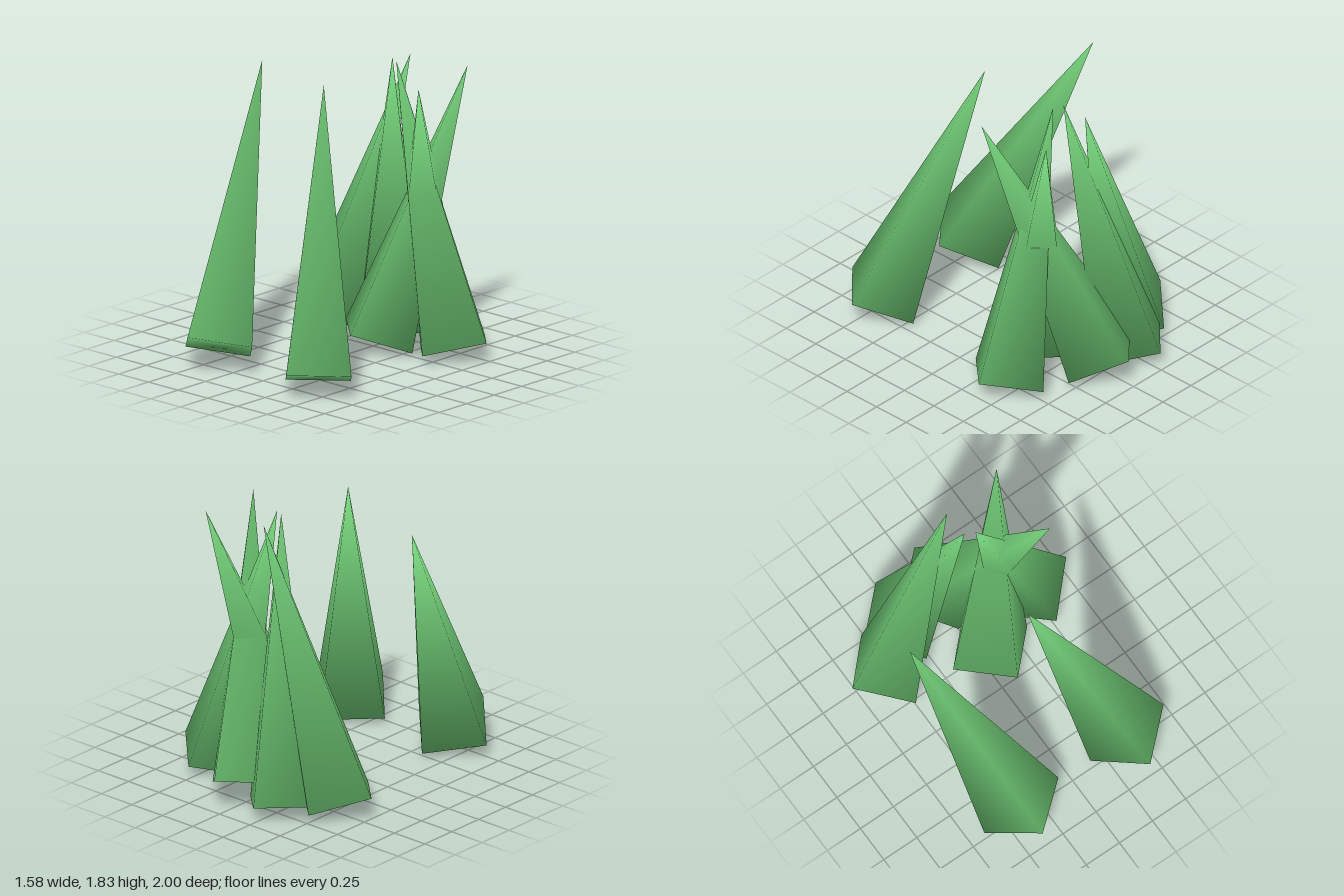
import * as THREE from 'three';
import { mergeVertices } from 'three/addons/utils/BufferGeometryUtils.js';

const RADIUS = 0.285;
const HEIGHT = 1.81;
const MID_Y = 0.953;

// Base centre [x, z] and tip [x, z] of each leaning spike
const SPIKES = [
  { name: 'frontRightSpike', base: [-0.38, 0.74], tip: [-0.70, 0.0] },
  { name: 'frontLeftSpike', base: [0.435, 0.715], tip: [0.03, 0.23] },
  { name: 'backRightSpike', base: [-0.52, -0.48], tip: [0.0, -0.59] },
  { name: 'rearRightSpike', base: [-0.27, -0.70], tip: [0.01, -0.415] },
  { name: 'rearMiddleSpike', base: [0.02, -0.73], tip: [0.47, -0.155] },
  { name: 'backLeftSpike', base: [0.51, -0.43], tip: [0.07, -0.385] },
  { name: 'backMiddleSpike', base: [0.07, -0.23], tip: [0.42, -0.655] },
];

// Four-sided cone whose normals are smooth over tip, sides and base
function spikeGeometry() {
  const cone = new THREE.ConeGeometry(RADIUS, HEIGHT, 4, 1);
  cone.deleteAttribute('normal');
  cone.deleteAttribute('uv');
  const geometry = mergeVertices(cone, 1e-4);
  const pos = geometry.attributes.position;
  const normals = new THREE.Float32BufferAttribute(new Float32Array(pos.count * 3), 3);
  const n = new THREE.Vector3();
  for (let i = 0; i < pos.count; i++) {
    const x = pos.getX(i), y = pos.getY(i), z = pos.getZ(i);
    if (y > 0) n.set(0, 1, 0);
    else if (Math.hypot(x, z) < 0.01) n.set(0, -1, 0);
    else n.set(x / RADIUS, -0.55, z / RADIUS).normalize();
    normals.setXYZ(i, n.x, n.y, n.z);
  }
  geometry.setAttribute('normal', normals);
  return geometry;
}

export function createModel() {
  const group = new THREE.Group();
  group.name = 'spikeCluster';
  const green = new THREE.MeshStandardMaterial({ color: 0x74d27a });
  green.name = 'leafGreen';
  const geometry = spikeGeometry();

  for (const { name, base, tip } of SPIKES) {
    const mesh = new THREE.Mesh(geometry, green);
    mesh.name = name;
    mesh.position.set((base[0] + tip[0]) / 2, MID_Y, (base[1] + tip[1]) / 2);
    // Lean from base to tip: first about x, then about z
    const leanX = Math.asin((tip[1] - base[1]) / HEIGHT);
    const leanZ = -Math.asin((tip[0] - base[0]) / (HEIGHT * Math.cos(leanX)));
    mesh.rotation.set(leanX, 0, leanZ, 'ZYX');
    group.add(mesh);
  }
  return group;
}
